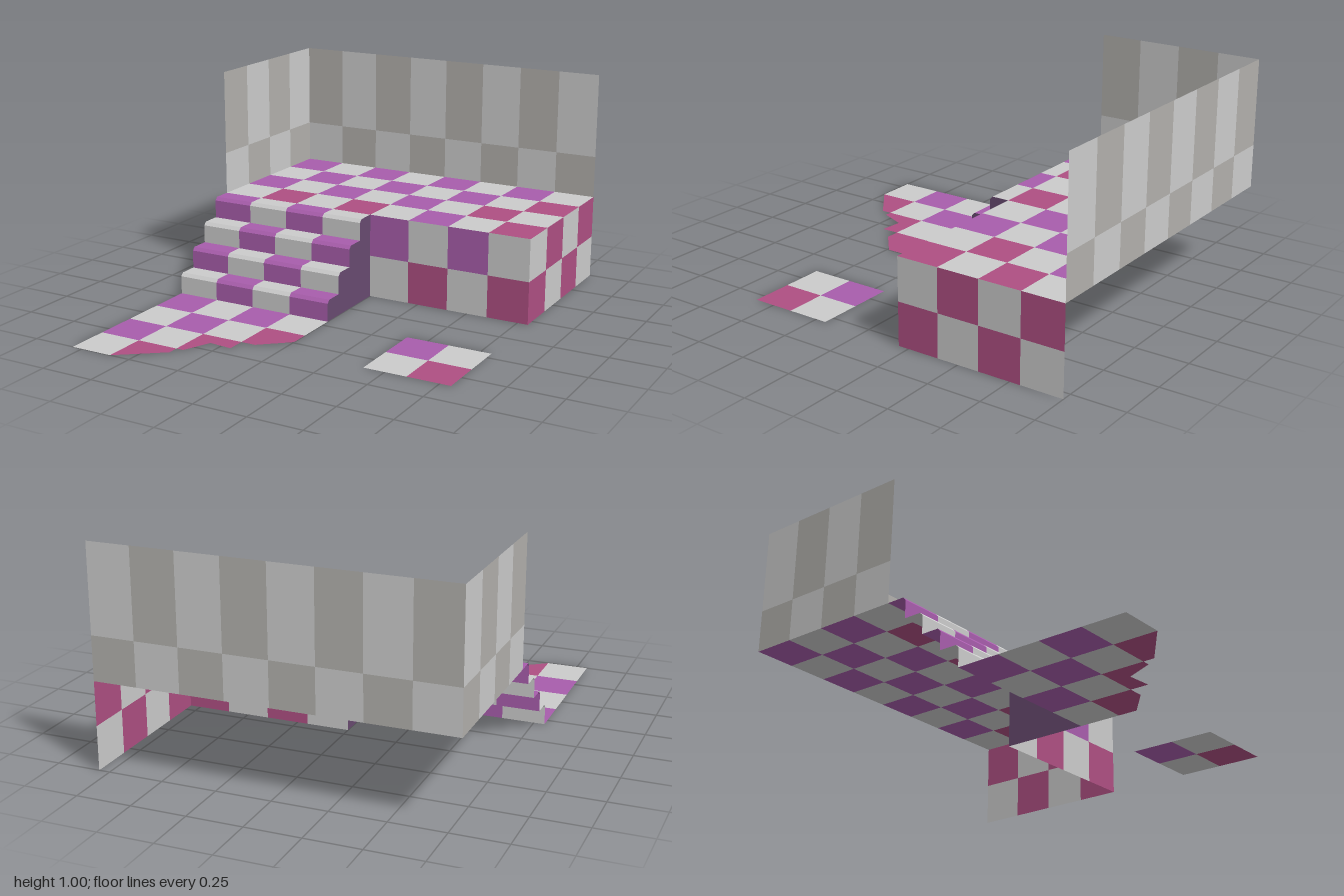
import * as THREE from 'three';
import { mergeGeometries } from 'three/addons/utils/BufferGeometryUtils.js';

const T = 0.2; // tile size
const X = new THREE.Vector3(1, 0, 0);
const Y = new THREE.Vector3(0, 1, 0);
const BACK = new THREE.Vector3(0, 0, -1);

const mat = (color) => new THREE.MeshStandardMaterial({ color, side: THREE.DoubleSide });
const MATERIALS = {
  grey: mat(0xcccccc),
  stone: mat(0xb2b0ac),
  purple: mat(0xa85dac),
  pink: mat(0xae4f82),
  plum: mat(0x684a70),
};

// Flat polygon given in (u, v), laid on the plane spanned by U and V through origin
function panel(points, origin, U, V) {
  const shape = new THREE.Shape(points.map(([u, v]) => new THREE.Vector2(u, v)));
  const m = new THREE.Matrix4().makeBasis(U, V, U.clone().cross(V));
  m.setPosition(...origin);
  return new THREE.ShapeGeometry(shape).applyMatrix4(m);
}

const rect = (u, v, w, h) => [[u, v], [u + w, v], [u + w, v + h], [u, v + h]];

// Collects tile geometries by colour and makes one mesh for each colour
function tileSet(name) {
  const lists = {};
  return {
    add(color, geometry) { (lists[color] ??= []).push(geometry); },
    build() {
      const group = new THREE.Group();
      group.name = name;
      for (const [color, list] of Object.entries(lists)) {
        const mesh = new THREE.Mesh(mergeGeometries(list), MATERIALS[color]);
        mesh.name = name + color[0].toUpperCase() + color.slice(1) + 'Tiles';
        group.add(mesh);
      }
      return group;
    },
  };
}

// Rectangular grid of tiles; heights lists the row heights along V
function tiledPanel(name, origin, U, V, columns, heights, colorOf) {
  const set = tileSet(name);
  let v = 0;
  heights.forEach((h, j) => {
    for (let i = 0; i < columns; i++) {
      set.add(colorOf(i, j), panel(rect(i * T, v, T, h), origin, U, V));
    }
    v += h;
  });
  return set.build();
}

export function createModel() {
  const model = new THREE.Group();
  const odd = (n) => n % 2 === 1;

  // Raised floor, rows running from front to back
  model.add(tiledPanel('platformFloor', [-0.8, 0.4, -0.2], X, BACK, 8, [T, T, T, T], (i, j) =>
    !odd(i + j) ? 'grey' : (j === 0 && i !== 5) || i === 7 || (i === 6 && j === 1) ? 'pink' : 'purple'));

  // Platform front and right faces
  model.add(tiledPanel('platformFront', [0, 0, -0.2], X, Y, 4, [T, T], (i, j) =>
    !odd(i + j) ? 'grey' : j === 0 ? 'pink' : 'purple'));
  model.add(tiledPanel('platformSide', [0.8, 0, -0.2], BACK, Y, 4, [T, T], (i, j) =>
    odd(i + j) ? 'grey' : 'pink'));

  // Thin walls: a low skirting row below a tall row
  const wallColor = (i, j) => (odd(i + j) ? 'stone' : 'grey');
  model.add(tiledPanel('backWall', [-0.8, 0.4, -1], X, Y, 8, [0.2, 0.4], wallColor));
  model.add(tiledPanel('sideWall', [-0.8, 0.4, -0.2], BACK, Y, 4, [0.2, 0.4], wallColor));

  // Staircase: each tile wraps over riser, bevelled nosing and tread
  const rise = 0.1, bevel = 0.015;
  const stairs = tileSet('stairs');
  const outline = [[0.2, 0], [-0.2, 0]];
  for (let s = 0; s < 4; s++) {
    const z = 0.2 - s * rise, top = (s + 1) * rise;
    const profile = [[z - rise, top], [z - bevel, top], [z, top - bevel], [z, s * rise]];
    for (let i = 0; i < 4; i++) {
      const strip = new THREE.PlaneGeometry(T, 1, 1, 3);
      strip.translate(-0.7 + i * T, 0, 0);
      const p = strip.attributes.position;
      for (let k = 0; k < p.count; k++) {
        const [pz, py] = profile[Math.floor(k / 2)];
        p.setY(k, py);
        p.setZ(k, pz);
      }
      const flat = strip.toNonIndexed();
      flat.computeVertexNormals();
      stairs.add(odd(i + s) ? 'purple' : 'grey', flat);
    }
    outline.splice(outline.length - 1, 0, ...profile.slice(0, 3).reverse());
  }
  model.add(stairs.build());

  // Stepped cheek closing the inner end of the stairs
  const cheek = new THREE.Mesh(
    panel(outline.map(([z, y]) => [-z, y]), [0, 0, 0], BACK, Y), MATERIALS.plum);
  cheek.name = 'stairSide';
  model.add(cheek);

  // Ground at the foot of the stairs: whole tiles, then broken edge tiles in (x, z)
  const ground = tileSet('brokenGround');
  const addGround = (color, points) =>
    ground.add(color, panel(points.map(([x, z]) => [x, -z]), [0, 0, 0], X, BACK));
  [4, 3, 2, 1].forEach((count, j) => {
    for (let i = 0; i < count; i++) {
      addGround(odd(i + j) ? 'grey' : 'purple', rect(-0.8 + i * T, 0.2 + j * T, T, T));
    }
  });
  addGround('pink', [[-0.2, 0.4], [0, 0.4], [0, 0.49], [-0.13, 0.6], [-0.2, 0.6]]);
  addGround('pink', [[-0.4, 0.6], [-0.2, 0.6], [-0.2, 0.685], [-0.31, 0.675], [-0.365, 0.8], [-0.4, 0.8]]);
  addGround('pink', [[-0.6, 0.8], [-0.4, 0.8], [-0.4, 0.85], [-0.6, 1]]);
  model.add(ground.build());

  // Loose square of floor
  model.add(tiledPanel('looseFloor', [0.4, 0, 0.6], X, BACK, 2, [T, T], (i, j) =>
    !odd(i + j) ? 'grey' : j === 0 ? 'pink' : 'purple'));

  return model;
}
